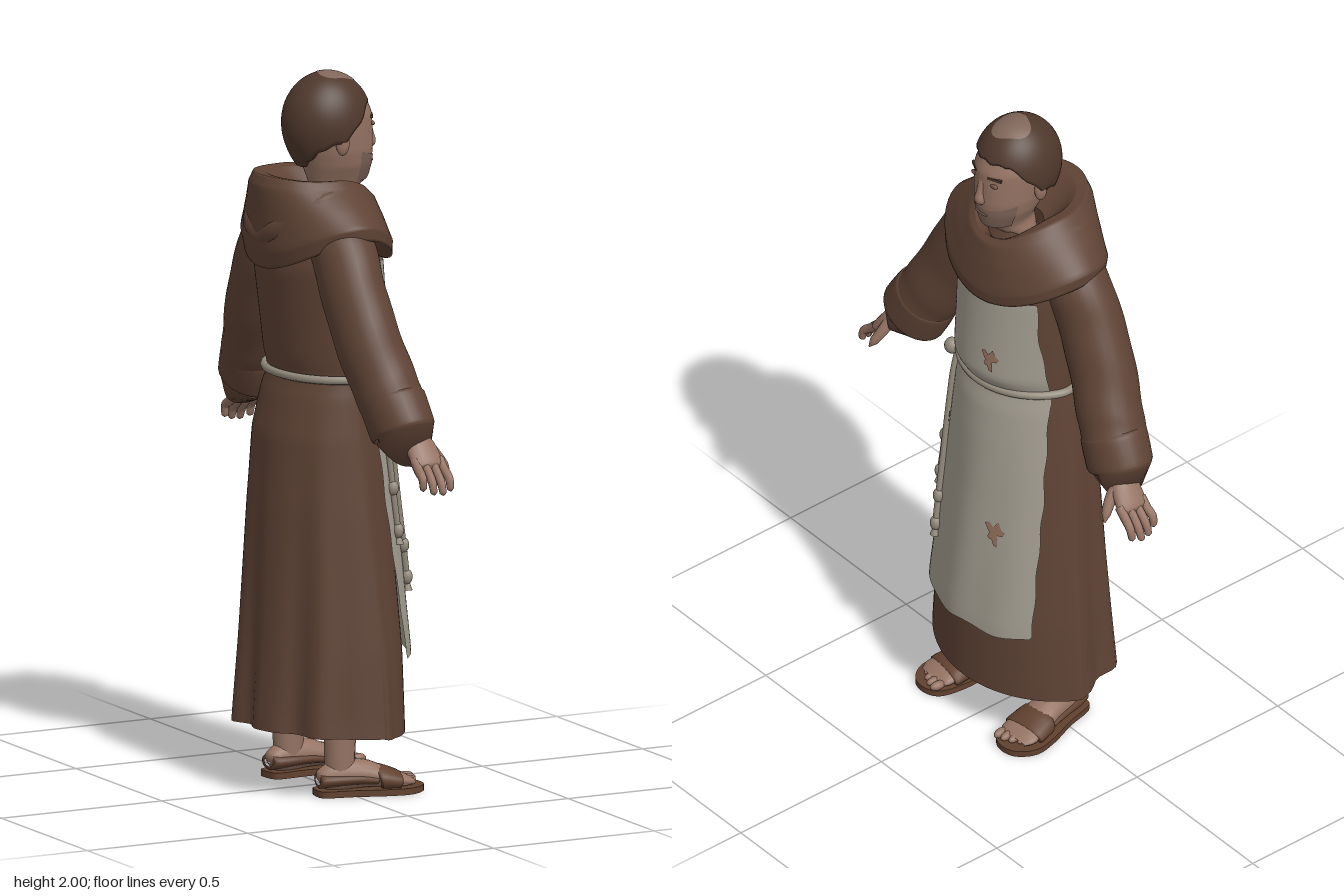
import * as THREE from 'three';

const V = (x, y, z) => new THREE.Vector3(x, y, z);
const mat = (name, color, side = THREE.FrontSide) => {
  const m = new THREE.MeshStandardMaterial({ color, side });
  m.name = name;
  return m;
};
const clamp = THREE.MathUtils.clamp;

// Grid surface: f(u, v) gives a point; u optionally wraps around
function surface(nu, nv, f, wrap = true) {
  const pos = [], idx = [], cols = wrap ? nu : nu + 1;
  for (let j = 0; j <= nv; j++)
    for (let i = 0; i < cols; i++) pos.push(...f(i / nu, j / nv).toArray());
  for (let j = 0; j < nv; j++)
    for (let i = 0; i < nu; i++) {
      const a = j * cols + i, b = j * cols + (i + 1) % cols;
      idx.push(a, b, a + cols, b, b + cols, a + cols);
    }
  const g = new THREE.BufferGeometry();
  g.setAttribute('position', new THREE.Float32BufferAttribute(pos, 3));
  g.setIndex(idx);
  g.computeVertexNormals();
  return g;
}

// Smooth limb through sections [x, y, z, halfWidth, halfDepth]; halfWidth runs along ref
function limb(secs, n = 16, steps = 4, ref = V(1, 0, 0), wrinkle = 0) {
  const curve = new THREE.CatmullRomCurve3(secs.map(s => V(s[0], s[1], s[2])));
  const size = new THREE.CatmullRomCurve3(secs.map(s => V(s[3], s[4], 0)));
  return surface(n, steps * (secs.length - 1), (u, v) => {
    const c = curve.getPoint(v), t = curve.getTangent(v), r = size.getPoint(v), a = u * Math.PI * 2;
    const e = ref.clone().addScaledVector(t, -ref.dot(t)).normalize();
    const w = t.clone().cross(e);
    const k = 1 + wrinkle * Math.sin(v * 24 + 2 * Math.cos(a));
    return c.addScaledVector(e, r.x * k * Math.cos(a)).addScaledVector(w, r.y * k * Math.sin(a));
  });
}

function mirrored(geo) {
  const g = geo.clone().applyMatrix4(new THREE.Matrix4().makeScale(1, 1, -1));
  if (!g.index) g.setIndex([...Array(g.attributes.position.count).keys()]);
  const ix = g.index.array;
  for (let i = 0; i < ix.length; i += 3) [ix[i], ix[i + 1]] = [ix[i + 1], ix[i]];
  return g;
}

// Row interpolation: the first entry of each row is the height
function rowAt(rows, y) {
  let i = 0;
  while (i < rows.length - 2 && y > rows[i + 1][0]) i++;
  const t = clamp((y - rows[i][0]) / (rows[i + 1][0] - rows[i][0]), 0, 1);
  return rows[i].map((a, k) => a + (rows[i + 1][k] - a) * t);
}

// Height, back x, front x, half width
const ROBE = [[.175, -.235, .21, .305], [.4, -.22, .205, .288], [.8, -.2, .175, .245], [1, -.185, .165, .222],
  [1.12, -.155, .155, .205], [1.165, -.135, .15, .195], [1.22, -.15, .16, .2], [1.35, -.165, .16, .208],
  [1.48, -.18, .15, .215], [1.58, -.15, .12, .21], [1.66, -.1, .08, .11]];
const HEAD = [[1.55, -.04, .06, .06], [1.65, -.035, .08, .058], [1.68, -.035, .115, .052], [1.695, -.04, .136, .055],
  [1.74, -.055, .146, .077], [1.78, -.07, .149, .087], [1.83, -.09, .148, .092], [1.88, -.095, .145, .094],
  [1.93, -.085, .125, .08], [1.965, -.05, .075, .045], [1.98, 0, .03, .01]];
const APRON = [[.37, .028, .22], [.8, .021, .207], [1.1, .015, .19], [1.165, .005, .182],
  [1.21, .024, .188], [1.35, .013, .175], [1.49, .013, .168]];

// Skirt weight, widest x and front roundness at a height
const skirt = y => clamp((1.12 - y) / .9, 0, 1);
const midX = (b, f, k) => (b + f) / 2 + .045 * k;
const frontCurve = (c, k) => c ** (1.3 + .15 * k);

// Skirt is widest ahead of the middle, with a narrower folded back
function robePoint(a, y, out = 0) {
  const [, b, f, w] = rowAt(ROBE, y), k = skirt(y), c = Math.cos(a), m = midX(b, f, k);
  const fold = 1 + k * clamp((.5 - c) / .7, 0, 1) * (.045 * Math.cos(9 * a) + .018 * Math.cos(15 * a + 1));
  const dx = c > 0 ? (f - m + out) * frontCurve(c, k) : -(m - b + out) * (-c) ** (1 - .25 * k);
  const narrow = c < 0 ? 1 + .22 * k * c : 1;
  return V(m + dx * fold, y - .012 * c * k, -(w + out) * Math.sin(a) * fold * narrow);
}
function apronPoint(z, y, out = 0) {
  const [, b, f, w] = rowAt(ROBE, y), off = rowAt(APRON, y)[1], k = skirt(y), m = midX(b, f, k);
  const c = Math.sqrt(Math.max(0, 1 - (z / w) ** 2));
  const ripple = .003 * Math.sin(z * 38 + y * 3) * clamp((1.2 - y) * 2, 0, 1);
  return V(m + (f - m) * frontCurve(c, k) + off * (.35 + .65 * c) + ripple + out, y, z);
}

export function createModel() {
  const root = new THREE.Group();
  root.name = 'friar';
  const robe = mat('brown wool', 0x5f4335, THREE.DoubleSide), linen = mat('grey linen', 0xa39d90, THREE.DoubleSide);
  const cord = mat('cord', 0x938b7c), skin = mat('skin', 0x957363), hair = mat('hair', 0x4f382c);
  const leather = mat('leather', 0x61412f), torn = mat('torn cloth', 0x94705c, THREE.DoubleSide);
  const shade = mat('eyes and lips', 0x70544a), weathered = mat('weathered skin', 0x80665a);
  const add = (name, geo, m) => {
    const o = new THREE.Mesh(geo, m);
    o.name = name;
    root.add(o);
  };
  const pair = (name, geo, m) => { add(name + 'Right', geo, m); add(name + 'Left', mirrored(geo), m); };
  const ball = (x, y, z, rx, ry, rz) => new THREE.SphereGeometry(1, 14, 10).scale(rx, ry, rz).translate(x, y, z);
  const TAU = Math.PI * 2;

  // Robe with a closed underside, and apron
  add('robe', surface(96, 70, (u, v) => robePoint(u * TAU, .175 + v * 1.485)), robe);
  add('robeUnderside', surface(96, 6, (u, v) => {
    const p = robePoint(u * TAU, .175);
    return V(p.x * v, p.y + .035 * (1 - v ** 4), p.z * v);
  }), robe);
  add('apron', surface(36, 70, (u, v) => {
    const s = 1 - 2 * u, y = .375 + v * 1.11, corner = v === 0 ? .97 : 1;
    const w = rowAt(APRON, y)[2] * corner + .0015 * Math.sin(y * 40);
    return apronPoint(s * w, y + (v === 0 ? .005 * Math.sin(u * 14) : 0));
  }, false), linen);
  for (const [z, y, r] of [[-.067, 1.28, .032], [-.105, .705, .036], [.14, .95, .016]])
    add('tear', surface(18, 2, (u, v) => {
      const a = u * TAU, k = r * (1 - v) * (.75 + .25 * Math.sin(5 * a) + .2 * Math.cos(3 * a));
      return apronPoint(z - k * Math.sin(a) * .8, y - k * Math.cos(a) * 1.2, .004);
    }), torn);

  // Cowl rings: back x, front x, half width, side y, front y, back y
  const cowl = [[-.16, .13, .22, 1.555, 1.48, 1.49], [-.195, .17, .268, 1.572, 1.465, 1.47],
    [-.205, .172, .27, 1.61, 1.5, 1.52], [-.205, .157, .22, 1.655, 1.58, 1.62], [-.208, .142, .168, 1.697, 1.64, 1.7],
    [-.197, .125, .146, 1.722, 1.655, 1.732], [-.16, .107, .112, 1.715, 1.64, 1.725], [-.06, .07, .065, 1.63, 1.59, 1.65]];
  add('cowl', surface(64, 35, (u, v) => {
    const a = u * TAU, c = Math.cos(a);
    const [, b, f, w, ys, yf, yb] = rowAt(cowl.map((r, i) => [i, ...r]), v * 7);
    return V((b + f) / 2 + (f - b) / 2 * c, ys + ((c > 0 ? yf : yb) - ys) * c * c, -w * Math.sin(a));
  }), robe);
  const hoodHalf = [[.09, 1.645, .08, .01, .014], [.01, 1.68, .135, .022, .024], [-.09, 1.66, .15, .032, .034], [-.155, 1.6, .09, .034, .036]];
  const hood = [...hoodHalf, [-.172, 1.555, 0, .034, .036], ...hoodHalf.map(([x, y, z, p, q]) => [x, y, -z, p, q]).reverse()];
  add('hoodFold', limb(hood, 14, 6, V(0, 1, 0)), robe);

  // Sleeves reaching slightly forward, with turned cuffs
  pair('sleeve', limb([[-.03, 1.6, .12, .07, .06], [-.035, 1.53, .19, .09, .095], [-.037, 1.43, .25, .088, .1],
    [-.028, 1.31, .313, .09, .098], [-.008, 1.2, .37, .091, .095], [.005, 1.135, .407, .09, .094]], 28, 7, undefined, .012), robe);
  pair('cuff', limb([[.004, 1.16, .395, .082, .085], [.005, 1.145, .403, .091, .097], [.01, 1.105, .424, .09, .101],
    [.015, 1.07, .443, .088, .102], [.016, 1.06, .448, .08, .094], [.015, 1.07, .442, .066, .075], [.01, 1.15, .4, .045, .05]], 28, 4), robe);

  // Hands
  pair('hand', limb([[.015, 1.16, .4, .03, .03], [.028, 1.07, .462, .032, .028], [.04, 1.03, .497, .045, .027],
    [.045, .985, .535, .048, .021], [.045, .972, .545, .03, .008]], 16, 4), skin);
  for (let i = 0; i < 4; i++) {
    const x = .008 + i * .0255, d = [.014, .003, 0, .008][i], tip = x * 1.06 - .002;
    pair('finger', limb([[x, 1, .525, .014, .014], [x, .975, .55, .0135, .014], [tip, .945 + d, .58 - d * .4, .0125, .012],
      [tip, .917 + d, .592 - d, .01, .01], [tip, .91 + d, .594 - d, .001, .001]], 8, 3), skin);
  }
  pair('thumb', limb([[.06, 1.04, .485, .02, .018], [.09, 1.005, .492, .017, .016], [.112, .975, .502, .013, .013],
    [.124, .955, .51, .002, .002]], 10, 3), skin);

  // Head and face, with a shaven shadow on the jaw
  const ring = (y, a, out = 0) => {
    const [, b, f, w] = rowAt(HEAD, y);
    return V((b + f) / 2 + ((f - b) / 2 + out) * Math.cos(a), y, -(w + out) * Math.sin(a));
  };
  add('head', surface(40, 50, (u, v) => ring(1.55 + .43 * v, u * TAU)), skin);
  add('shavenJaw', surface(20, 6, (u, v) => {
    const a = (u - .5) * 2.4;
    return ring(1.693 + v * (.067 + .02 * (a / 1.2) ** 2), a, .002);
  }, false), weathered);
  add('nose', limb([[.136, 1.87, 0, .004, .008], [.142, 1.845, 0, .008, .011], [.147, 1.812, 0, .013, .012],
    [.149, 1.79, 0, .016, .017], [.141, 1.775, 0, .008, .012]], 12), skin);
  pair('ear', ball(.012, 1.815, .098, .021, .036, .013), skin);
  pair('eye', ball(.133, 1.85, .04, .007, .007, .015), shade);
  pair('brow', new THREE.BoxGeometry(.008, .008, .042).rotateY(-.42).translate(.131, 1.872, .042), hair);
  add('mouth', ball(.145, 1.742, 0, .006, .005, .026), shade);

  // Tonsured hair: a cap with a lowered edge at the back, and a bare crown
  add('hair', surface(60, 24, (u, v) => {
    const a = u * TAU, c = Math.cos(a);
    const edge = 1.815 + (c > 0 ? .1 * Math.min(1, c * 1.35) : -.075 * c * c) + .003 * Math.cos(14 * a);
    const t = Math.max(0, (v * 24 - 1) / 23), y = edge + (2 - edge) * Math.sin(t * Math.PI / 2);
    const d = y - 1.86;
    let r = d > 0 ? Math.sqrt(Math.max(0, 1 - (d / .14) ** 2)) : 1 - .9 * (d / .2) ** 2;
    if (v === 0) r *= .8;
    return V(.014 + .128 * r * c, y, -.115 * r * Math.sin(a));
  }), hair);
  add('baldCrown', surface(28, 6, (u, v) => {
    const a = u * TAU, r = (.053 + .005 * Math.cos(3 * a + 1)) * (1 - v), x = .035 + r * Math.cos(a), z = -r * Math.sin(a);
    return V(x, 1.8615 + .14 * Math.sqrt(1 - ((x - .014) / .128) ** 2 - (z / .115) ** 2), z);
  }), weathered);

  // Rope belt with two knotted ends
  const beltPts = [...Array(48).keys()].map(i => robePoint(i / 48 * TAU, 1.17, .008));
  add('belt', new THREE.TubeGeometry(new THREE.CatmullRomCurve3(beltPts, true), 120, .012, 8, true), cord);
  add('beltKnot', ball(.115, 1.165, .162, .022, .024, .022), cord);
  for (const [z0, z1, end, mid] of [[.168, .182, .71, .85], [.152, .147, .57, .68]]) {
    const at = y => apronPoint(z0 + (z1 - z0) * (1.16 - y) / (1.16 - end), y, .009);
    const pts = [...Array(9).keys()].map(i => at(1.16 + (end - 1.16) * i / 8));
    add('hangingCord', new THREE.TubeGeometry(new THREE.CatmullRomCurve3(pts), 40, .009, 8), cord);
    for (const y of [end + .02, mid]) {
      const p = at(y);
      add('cordKnot', ball(p.x, y, p.z, .016, .022, .016), cord);
    }
    const p = at(end);
    add('tassel', new THREE.ConeGeometry(.014, .035, 10).translate(p.x, end, p.z), cord);
  }

  // Legs, feet and sandals
  const place = g => g.rotateY(-.13).translate(0, 0, .155);
  pair('leg', limb([[-.025, .05, .15, .042, .038], [-.025, .13, .15, .044, .04], [-.02, .24, .147, .05, .046]], 16, 4), skin);
  const Z = V(0, 0, 1);
  pair('foot', place(limb([[-.088, .04, 0, .005, .005], [-.08, .045, 0, .028, .028], [-.03, .055, 0, .04, .045],
    [.04, .055, 0, .047, .04], [.1, .042, 0, .056, .028], [.155, .032, 0, .06, .018], [.18, .027, 0, .045, .01]], 18, 4, Z)), skin);
  for (let i = 0; i < 5; i++)
    pair('toe', place(ball(.183 - i * i * .0025, .029, -.043 + i * .0225, .024, .013 - i * .001, .013 - i * .0006)), skin);
  const outline = new THREE.Shape();
  outline.moveTo(-.098, 0);
  outline.splineThru([[-.085, .04], [0, .052], [.09, .072], [.16, .073], [.208, .033], [.212, -.02], [.18, -.058],
    [.1, -.064], [0, -.048], [-.085, -.04], [-.098, 0]].map(p => new THREE.Vector2(...p)));
  pair('sandalSole', place(new THREE.ExtrudeGeometry(outline, { depth: .018, bevelEnabled: false, curveSegments: 5 })
    .rotateX(Math.PI / 2).translate(0, .018, 0)), leather);
  pair('toeStrap', place(limb([[.075, .04, 0, .05, .03], [.078, .041, 0, .063, .039], [.105, .037, 0, .066, .035],
    [.135, .031, 0, .068, .028], [.138, .03, 0, .05, .018]], 20, 3, Z)), leather);
  pair('heelStrap', place(limb([[-.09, .043, 0, .02, .012], [-.088, .043, 0, .035, .022], [-.04, .045, 0, .048, .022],
    [.02, .045, 0, .053, .02], [.07, .04, 0, .058, .016]], 20, 3, Z)), leather);
  return root;
}
